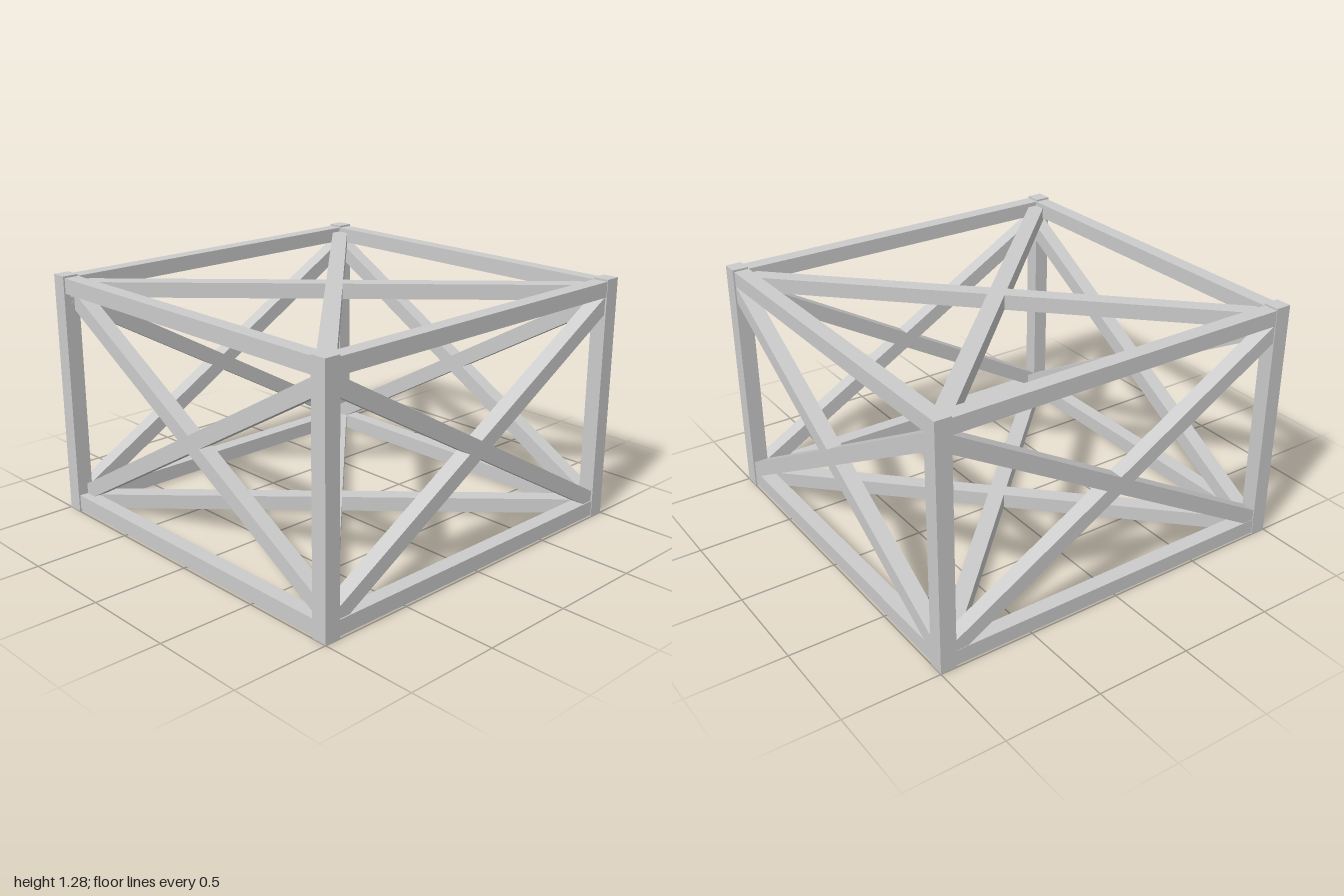
import * as THREE from 'three';

const MID_Y = 0.622; // height of the side-face brace crossings
const material = new THREE.MeshStandardMaterial({ color: 0xcccccc, flatShading: true });

export function createModel() {
  const model = new THREE.Group();
  model.name = 'bracedFrame';

  const addBox = (name, size, position) => {
    const mesh = new THREE.Mesh(new THREE.BoxGeometry(...size), material);
    mesh.name = name;
    mesh.position.set(...position);
    model.add(mesh);
    return mesh;
  };

  // Crossed pair of bars in the XY plane, spanning +-halfX and +-halfY
  const crossBrace = (name, halfX, halfY, width, depth) => {
    const brace = new THREE.Group();
    brace.name = name;
    for (const s of [-1, 1]) {
      const bar = new THREE.Mesh(
        new THREE.BoxGeometry(2 * Math.hypot(halfX, halfY), width, depth), material);
      bar.name = 'diagonalBar';
      bar.rotation.z = s * Math.atan2(halfY, halfX);
      brace.add(bar);
    }
    model.add(brace);
    return brace;
  };

  // Corner posts
  for (const x of [-1, 1]) {
    for (const z of [-1, 1]) {
      addBox('cornerPost', [0.084, 1.28, 0.084], [x * 0.958, 0.64, z * 0.958]);
    }
  }

  // Top and bottom rails between the posts
  for (const [level, y] of [['bottom', 0.05], ['top', 1.23]]) {
    for (const s of [-1, 1]) {
      addBox(level + 'CrossRail', [1.85, 0.08, 0.08], [0, y, s * 0.952]);
      addBox(level + 'SideRail', [0.08, 0.08, 1.85], [s * 0.957, y, 0]);
    }
  }

  // Front and back braces; the front one sits slightly inward
  crossBrace('frontBrace', 0.945, 0.54, 0.08, 0.08).position.set(0, MID_Y, 0.905);
  crossBrace('backBrace', 0.945, 0.54, 0.08, 0.08).position.set(0, MID_Y, -0.952);

  // Side braces
  for (const [name, x] of [['leftBrace', 0.951], ['rightBrace', -0.955]]) {
    const brace = crossBrace(name, 0.945, 0.54, 0.08, 0.08);
    brace.rotation.y = Math.PI / 2;
    brace.position.set(x, MID_Y, 0);
  }

  // Top and bottom braces
  for (const [name, y] of [['topBrace', 1.208], ['bottomBrace', 0.049]]) {
    const brace = crossBrace(name, 0.94, 0.94, 0.085, 0.078);
    brace.rotation.x = Math.PI / 2;
    brace.position.set(-0.005, y, -0.005);
  }

  return model;
}
